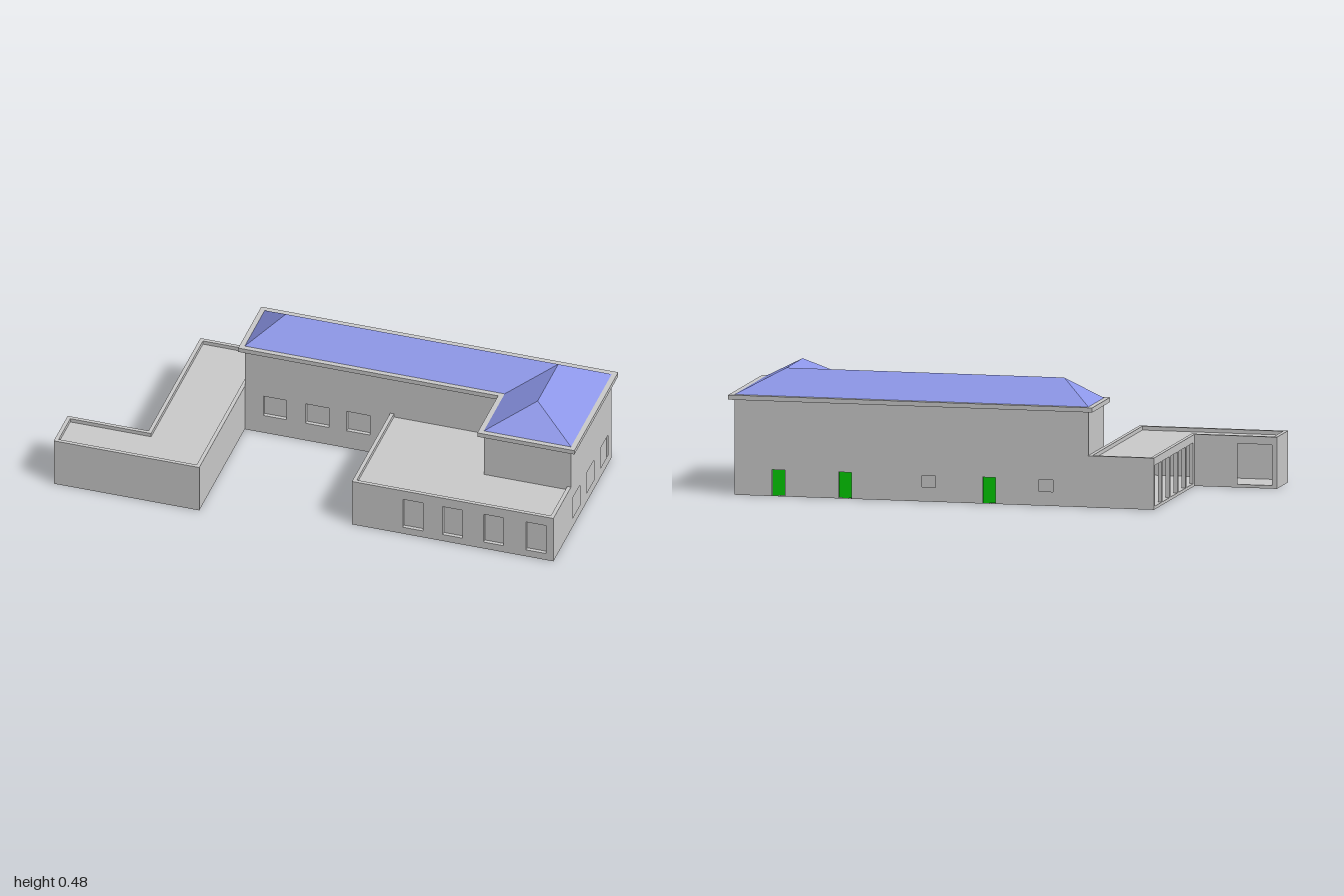
import * as THREE from 'three';

const T = 0.015; // wall thickness and depth of the window recesses
const grey = new THREE.MeshStandardMaterial({ color: 0xcccccc });
const roofBlue = new THREE.MeshStandardMaterial({ color: 0x8c96e8, flatShading: true });
const green = new THREE.MeshStandardMaterial({ color: 0x00cc00 });

const rect = (a, b, c, d) => [[a, b], [c, b], [c, d], [a, d]];
const toPoints = (list) => list.map(([x, y]) => new THREE.Vector2(x, y));

// L-shaped plan of the tall block, grown outwards by d
const tallPlan = (d) => [
  [-0.415 - d, -0.4 - d], [0.98 + d, -0.4 - d], [0.98 + d, 0.11 + d],
  [0.63 - d, 0.11 + d], [0.63 - d, -0.15 + d], [-0.415 - d, -0.15 + d],
];
// L-shaped plan of the low side wing, shrunk inwards by d
const wingPlan = (d) => [
  [-0.675 + d, -0.405 + d], [-0.415 - d, -0.405 + d], [-0.415 - d, 0.42 - d],
  [-1 + d, 0.42 - d], [-1 + d, 0.245 + d], [-0.675 + d, 0.245 + d],
];

export function createModel() {
  const model = new THREE.Group();

  const add = (name, geometry, material = grey, parent = model) => {
    const mesh = new THREE.Mesh(geometry, material);
    mesh.name = name;
    parent.add(mesh);
    return mesh;
  };

  // Plan outline [x, z] raised from y0 to y1
  const prism = (name, plan, y0, y1) => {
    const shape = new THREE.Shape(toPoints(plan.map(([x, z]) => [x, -z])));
    const geometry = new THREE.ExtrudeGeometry(shape, { depth: y1 - y0, bevelEnabled: false });
    geometry.rotateX(-Math.PI / 2).translate(0, y0, 0);
    return add(name, geometry);
  };

  // Wall panel with openings; outline and openings are given in [x or z, y],
  // and "at" is the coordinate of its outer face
  const facing = {
    front: { turn: 0, sign: 1, place: (m, at) => (m.position.z = at - T) },
    back: { turn: Math.PI, sign: -1, place: (m, at) => (m.position.z = at + T) },
    left: { turn: Math.PI / 2, sign: -1, place: (m, at) => (m.position.x = at - T) },
    right: { turn: -Math.PI / 2, sign: 1, place: (m, at) => (m.position.x = at + T) },
  };
  const wall = (name, side, at, outline, openings = []) => {
    const { turn, sign, place } = facing[side];
    const local = (list) => toPoints(list.map(([u, y]) => [u * sign, y]));
    const shape = new THREE.Shape(local(outline));
    for (const o of openings) shape.holes.push(new THREE.Path(local(rect(...o))));
    const mesh = add(name, new THREE.ExtrudeGeometry(shape, { depth: T, bevelEnabled: false }));
    mesh.rotation.y = turn;
    place(mesh, at);
    return mesh;
  };

  // Tall block: solid core behind the window panels
  prism('tallCore', [
    [-0.415, -0.4 + T], [0.98 - T, -0.4 + T], [0.98 - T, 0.11],
    [0.63, 0.11], [0.63, -0.15 - T], [-0.415, -0.15 - T],
  ], 0, 0.37);
  wall('tallFrontWall', 'front', -0.15, rect(-0.415, 0, 0.63, 0.37),
    [-0.34, -0.17, -0.005].map((x) => [x, 0.08, x + 0.093, 0.17]));

  // Back wall with doors and small windows
  const doors = [0.78, 0.518, -0.05];
  const backOpenings = [
    ...doors.map((x) => [x, 0.002, x + 0.052, 0.102]),
    [0.187, 0.055, 0.24, 0.1], [-0.275, 0.055, -0.22, 0.1],
  ];
  wall('tallBackWall', 'back', -0.4, rect(-0.415, 0, 0.98, 0.37), backOpenings);
  for (const x of doors) {
    add('door', new THREE.BoxGeometry(0.052, 0.1, 0.01), green)
      .position.set(x + 0.026, 0.052, -0.4 + T - 0.003);
  }

  // Left end wall, shared by the tall block and the low front block
  wall('leftEndWall', 'left', 0.98,
    [[-0.4 + T, 0], [0.33, 0], [0.33, 0.2], [0.11, 0.2], [0.11, 0.37], [-0.4 + T, 0.37]],
    [-0.002, -0.178, -0.355].map((z) => [z, 0.042, z + 0.093, 0.135]));

  // Low front block with parapet
  prism('lowCore', rect(0.17, -0.15, 0.98 - T, 0.33 - T), 0, 0.185);
  prism('lowParapet', rect(0.17, -0.15, 0.17 + T, 0.33 - T), 0.185, 0.2);
  wall('lowFrontWall', 'front', 0.33, rect(0.17, 0, 0.98 - T, 0.2),
    [0.375, 0.535, 0.7, 0.87].map((x) => [x, 0.03, x + 0.08, 0.16]));

  // Eaves and hipped roof
  prism('eaves', tallPlan(0.02), 0.37, 0.388);
  const y0 = 0.388, y1 = 0.48;
  const [bw, be, fe, fw, valley, mw] = tallPlan(0).map(([x, z]) => [x, y0, z]);
  const ridgeWest = [-0.29, y1, -0.276];
  const ridgeCorner = [0.805, y1, -0.276];
  const ridgeFront = [0.805, y1, -0.018];
  const slopes = [
    [be, bw, ridgeWest, ridgeCorner],
    [fe, be, ridgeCorner, ridgeFront],
    [fw, fe, ridgeFront],
    [valley, fw, ridgeFront, ridgeCorner],
    [mw, valley, ridgeCorner, ridgeWest],
    [bw, mw, ridgeWest],
  ];
  const corners = [];
  for (const s of slopes) {
    for (let i = 1; i < s.length - 1; i++) corners.push(...s[0], ...s[i], ...s[i + 1]);
  }
  const roof = new THREE.BufferGeometry();
  roof.setAttribute('position', new THREE.Float32BufferAttribute(corners, 3));
  roof.computeVertexNormals();
  add('hippedRoof', roof, roofBlue);

  // Hollow side wing: floor, roof and surrounding walls that rise as a parapet
  prism('wingFloor', wingPlan(0.002), 0, 0.012);
  prism('wingRoof', wingPlan(0.002), 0.17, 0.185);
  const H = 0.2;
  wall('wingFrontWall', 'front', 0.42, rect(-1, 0, -0.415, H));
  wall('wingInnerWall', 'left', -0.415, rect(-0.405, 0, 0.42 - T, H));
  wall('wingBackWall', 'back', -0.405, rect(-0.675, 0, -0.415 - T, H));
  wall('wingEndWall', 'right', -1, rect(0.245, 0, 0.42 - T, H));

  // Row of tall open bays facing the courtyard
  const bays = [];
  for (let i = 0; i < 5; i++) {
    const z = -0.395 + i * 0.127;
    bays.push([z, 0.012, z + 0.112, 0.17]);
  }
  wall('wingBayWall', 'right', -0.675, rect(-0.405 + T, 0, 0.245, H).map(([z, y]) => [z < 0 ? -0.405 : z, y]), bays);
  wall('wingOpenWall', 'back', 0.245, rect(-1 + T, 0, -0.66, H), [[-0.98, 0.012, -0.845, 0.17]]);

  return model;
}
